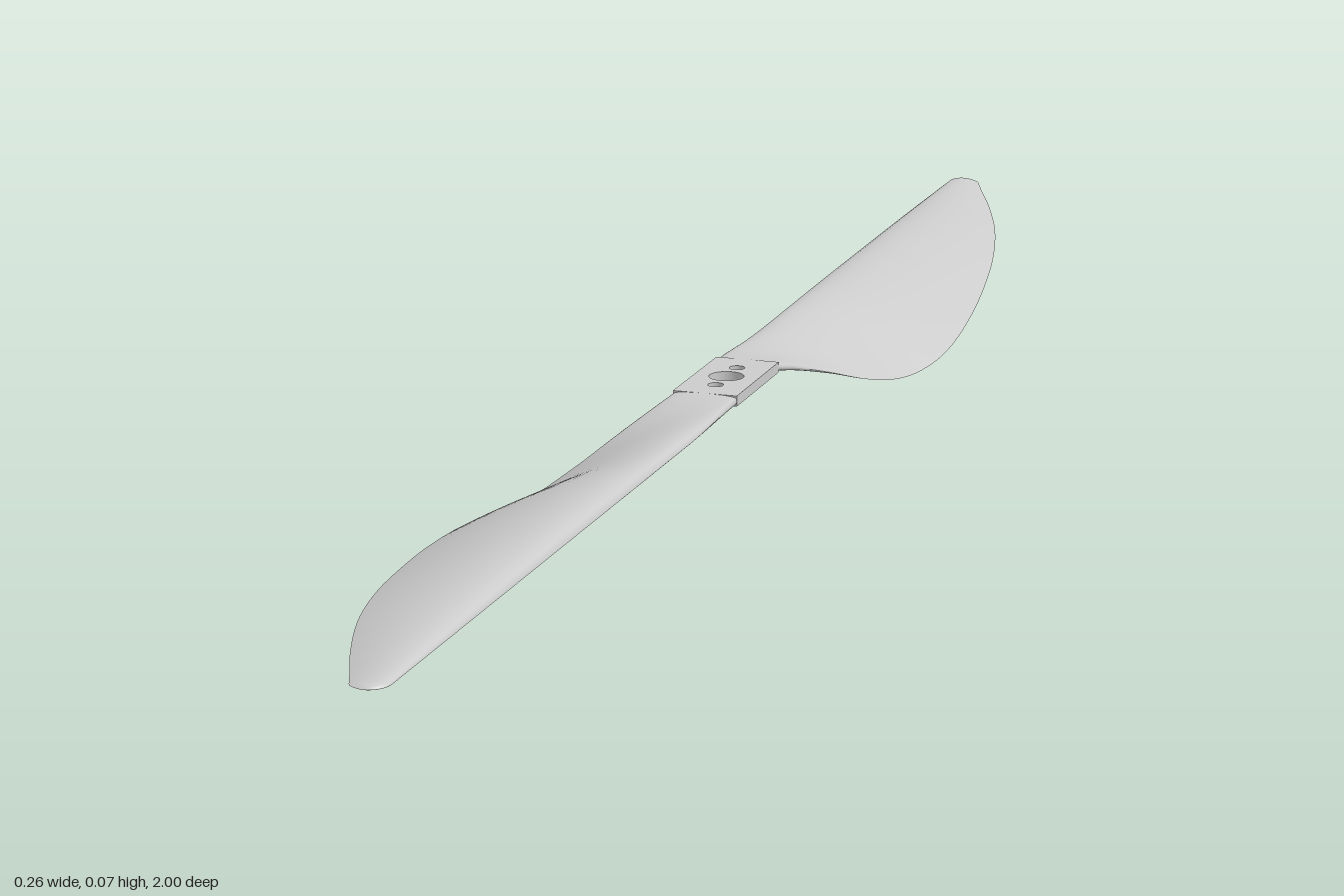
import * as THREE from 'three';

const material = new THREE.MeshStandardMaterial({ color: 0xcccccc, side: THREE.DoubleSide });
const EDGE = 0.034; // straight leading edge
const ROOT = 0.07; // where hub plate turns into blade

// Trailing edge of one blade, from root to tip
const trailing = new THREE.CatmullRomCurve3([
  [-0.034, 0.059, ROOT], [-0.044, 0.052, 0.1], [-0.066, 0.036, 0.15], [-0.089, 0.018, 0.2],
  [-0.106, 0.006, 0.25], [-0.117, 0.001, 0.3], [-0.127, 0.004, 0.35], [-0.131, 0.01, 0.4],
  [-0.126, 0.02, 0.5], [-0.114, 0.029, 0.6], [-0.097, 0.038, 0.7], [-0.072, 0.046, 0.8],
  [-0.037, 0.052, 0.9], [-0.016, 0.055, 0.95], [-0.004, 0.057, 0.98], [0.003, 0.058, 0.994],
  [0.015, 0.058, 1],
].map((p) => new THREE.Vector3(...p)), false, 'centripetal');

// Blade lofted through airfoil sections: boxy at the root, cambered further out
function bladeGeometry(rows = 96, n = 20) {
  const { lerp, smoothstep } = THREE.MathUtils;
  const positions = [];
  const index = [];
  const ring = 2 * (n + 1);
  for (let r = 0; r <= rows; r++) {
    const p = trailing.getPoint(r / rows);
    const k = smoothstep(p.z, ROOT, 0.22);
    const tip = Math.max(0, (p.z - 0.98) / 0.02);
    const leadX = 0.015 + (EDGE - 0.015) * Math.sqrt(Math.max(0, 1 - tip * tip));
    const leadY = lerp(0.059, 0.054 + 0.004 * p.z, k);
    const chord = leadX - p.x;
    for (let side = 0; side < 2; side++) {
      for (let i = 0; i <= n; i++) {
        const v = (1 - Math.cos(Math.PI * i / n)) / 2;
        const u = side ? 1 - v : v;
        const box = Math.pow(Math.max(0, 4 * u * (1 - u)), 0.2);
        const foil = Math.sqrt(u) * (1 - u) / 0.385;
        const offset = side
          ? -lerp(0.005 * box, chord * 0.02 * foil, k)
          : lerp(0.006 * box, chord * 0.12 * foil, k);
        positions.push(lerp(leadX, p.x, u), lerp(leadY, p.y, u) + offset, p.z);
      }
    }
  }
  for (let r = 0; r < rows; r++) {
    for (let side = 0; side < 2; side++) {
      for (let i = 0; i < n; i++) {
        const a = r * ring + side * (n + 1) + i;
        const b = a + ring;
        index.push(a, a + 1, b, a + 1, b + 1, b);
      }
    }
  }
  const geometry = new THREE.BufferGeometry();
  geometry.setAttribute('position', new THREE.Float32BufferAttribute(positions, 3));
  geometry.setIndex(index);
  geometry.computeVertexNormals();
  return geometry;
}

// Flat hub plate with a shaft hole and two pin holes
function hubGeometry() {
  const shape = new THREE.Shape([
    new THREE.Vector2(-EDGE, -ROOT), new THREE.Vector2(EDGE, -ROOT),
    new THREE.Vector2(EDGE, ROOT), new THREE.Vector2(-EDGE, ROOT),
  ]);
  for (const [z, radius] of [[0, 0.018], [0.035, 0.008], [-0.035, 0.008]]) {
    shape.holes.push(new THREE.Path().absarc(0, z, radius, 0, Math.PI * 2, true));
  }
  const geometry = new THREE.ExtrudeGeometry(shape, { depth: 0.011, bevelEnabled: false, curveSegments: 24 });
  geometry.rotateX(-Math.PI / 2);
  geometry.translate(0, 0.054, 0);
  return geometry;
}

export function createModel() {
  const group = new THREE.Group();
  group.name = 'propeller';

  const hub = new THREE.Mesh(hubGeometry(), material);
  hub.name = 'hub';
  group.add(hub);

  // Two identical blades, half a turn apart
  const geometry = bladeGeometry();
  ['frontBlade', 'backBlade'].forEach((name, i) => {
    const blade = new THREE.Mesh(geometry, material);
    blade.name = name;
    blade.rotation.y = i * Math.PI;
    group.add(blade);
  });
  return group;
}
